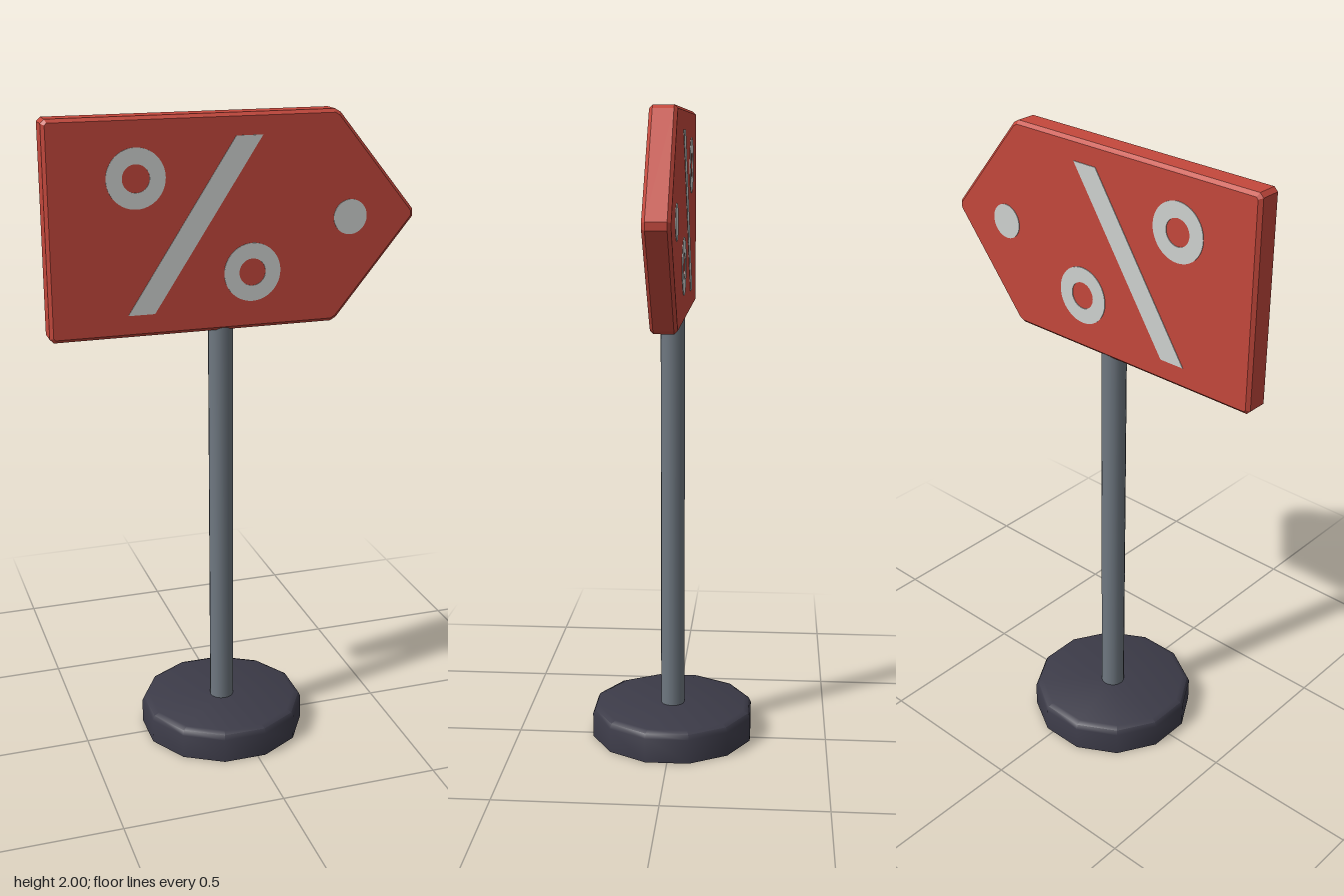
import * as THREE from 'three';
import { toCreasedNormals } from 'three/addons/utils/BufferGeometryUtils.js';

const POST_X = -0.042;
const MID_Y = 1.68;

const material = (name, color) => {
  const m = new THREE.MeshStandardMaterial({ color });
  m.name = name;
  return m;
};

const polygon = (points) => new THREE.Shape(points.map(([x, y]) => new THREE.Vector2(x, y)));

function disc(x, y, radius, hole = 0) {
  const shape = new THREE.Shape().absarc(x, y, radius, 0, Math.PI * 2, false);
  if (hole) shape.holes.push(new THREE.Path().absarc(x, y, hole, 0, Math.PI * 2, true));
  return shape;
}

export function createModel() {
  const red = material('sign red', 0xc4483c);
  const pale = material('pale grey', 0xcfd2d0);
  const steel = material('steel grey', 0x6f7881);
  const dark = material('dark base', 0x3c3b48);

  const model = new THREE.Group();
  model.name = 'arrowSign';
  const add = (name, geometry, mat, parent = model) => {
    const mesh = new THREE.Mesh(geometry, mat);
    mesh.name = name;
    parent.add(mesh);
    return mesh;
  };

  // Twelve-sided foot with a softened top edge
  const profile = [[0, 0], [0.264, 0], [0.264, 0.078], [0.257, 0.093], [0.24, 0.1], [0, 0.1]]
    .map(([x, y]) => new THREE.Vector2(x, y));
  const foot = new THREE.LatheGeometry(profile, 12, Math.PI / 12);
  add('base', toCreasedNormals(foot, 0.8), dark).position.x = POST_X;

  // Post
  add('post', new THREE.CylinderGeometry(0.038, 0.038, 1.3, 16), steel).position.set(POST_X, 0.73, 0);

  // Arrow-shaped board: bevelled faces and clipped corners
  const b = 0.01;
  const upper = [[0.554, 0.008], [0.314, 0.302], [0.3, 0.31], [-0.554, 0.31], [-0.56, 0.304]];
  const lower = upper.map(([x, y]) => [x, -y]).reverse();
  const outline = polygon([...upper, ...lower].map(([x, y]) => [x, y + MID_Y]));
  const board = new THREE.ExtrudeGeometry(outline, {
    depth: 0.06, bevelEnabled: true, bevelThickness: b, bevelSize: b, bevelSegments: 1,
  });
  board.translate(0, 0, -0.03);
  add('board', board, red);

  // Painted symbols, repeated on both faces
  const symbols = {
    upperRing: disc(-0.305, 1.826, 0.088, 0.041),
    lowerRing: disc(0.046, 1.532, 0.088, 0.041),
    tipDot: disc(0.356, 1.68, 0.053),
    slash: polygon([[-0.337, 1.427], [-0.256, 1.427], [0.077, 1.935], [-0.005, 1.935]]),
  };
  for (const [side, z] of [['front', 0.038], ['back', -0.042]]) {
    const face = new THREE.Group();
    face.name = side + 'Symbols';
    face.position.z = z;
    model.add(face);
    for (const [name, shape] of Object.entries(symbols)) {
      add(name, new THREE.ExtrudeGeometry(shape, { depth: 0.004, bevelEnabled: false, curveSegments: 24 }), pale, face);
    }
  }
  return model;
}
